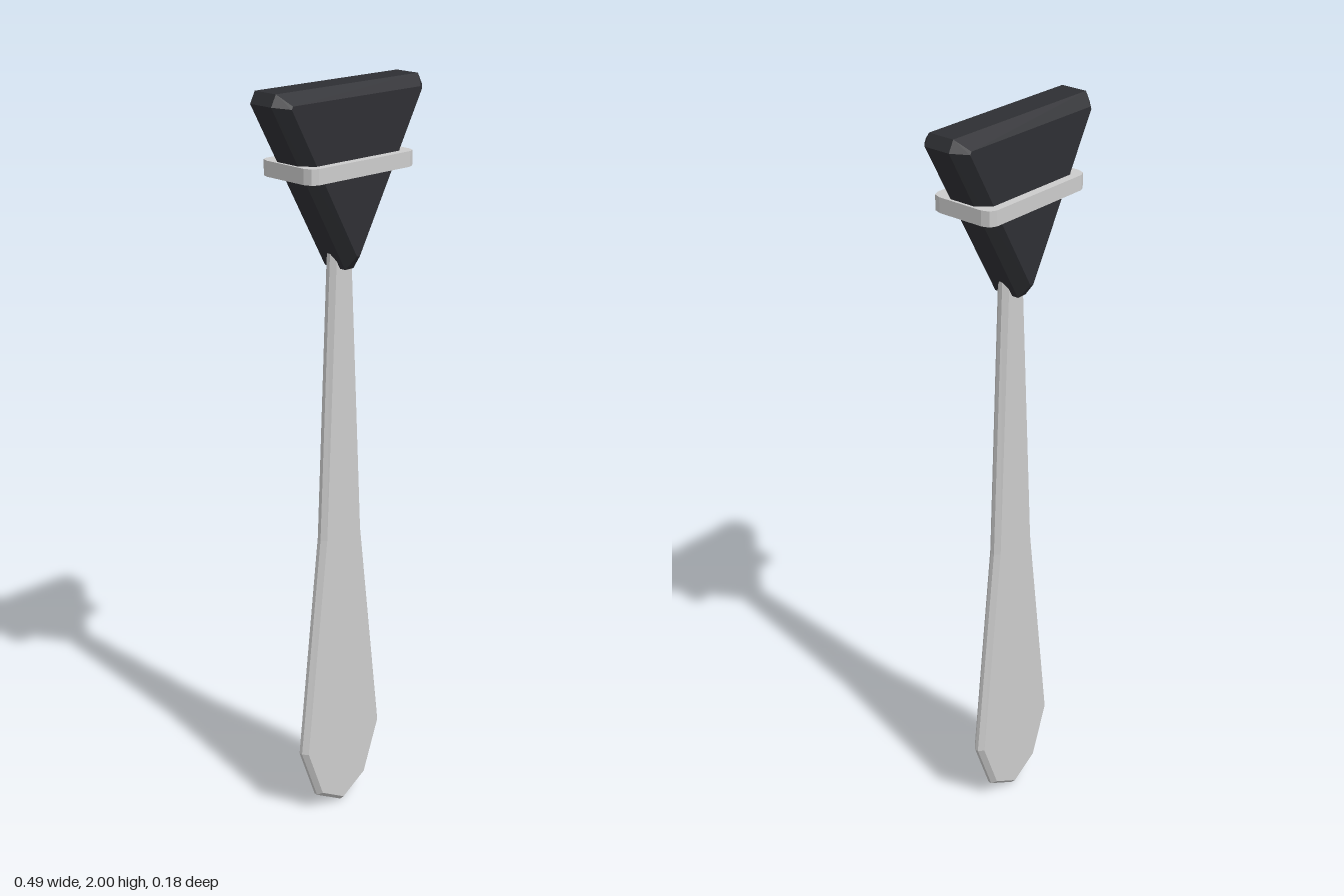
import * as THREE from 'three';

const metal = new THREE.MeshStandardMaterial({ color: 0xcccccc, flatShading: true });
const rubber = new THREE.MeshStandardMaterial({ color: 0x2e2f33, flatShading: true });

// Closes a right-hand outline (bottom to top) into a counter-clockwise loop
function mirror(half) {
  const left = half.filter(([x]) => x > 0).reverse().map(([x, y]) => [-x, y]);
  return [...half, ...left];
}

// Bevelled slab: wide outline at +-zEdge, inset outline at +-zFace
function bevelledSlab(outer, inner, zEdge, zFace) {
  const n = outer.length;
  const rings = [[inner, -zFace], [outer, -zEdge], [outer, zEdge], [inner, zFace]];
  const positions = rings.flatMap(([loop, z]) => loop.flatMap(([x, y]) => [x, y, z]));
  const index = [];
  for (let k = 0; k < 3; k++) {
    for (let i = 0; i < n; i++) {
      const a = k * n + i, b = k * n + (i + 1) % n;
      index.push(a, b, b + n, a, b + n, a + n);
    }
  }
  const cap = THREE.ShapeUtils.triangulateShape(inner.map(([x, y]) => new THREE.Vector2(x, y)), []);
  for (const [a, b, c] of cap) index.push(a, c, b, a + 3 * n, b + 3 * n, c + 3 * n);
  const indexed = new THREE.BufferGeometry();
  indexed.setAttribute('position', new THREE.Float32BufferAttribute(positions, 3));
  indexed.setIndex(index);
  const geometry = indexed.toNonIndexed();
  geometry.computeVertexNormals();
  return geometry;
}

function addPart(group, name, geometry, material) {
  const mesh = new THREE.Mesh(geometry, material);
  mesh.name = name;
  group.add(mesh);
  return mesh;
}

export function createModel() {
  const group = new THREE.Group();
  group.name = 'reflexHammer';

  // Flat tapering handle, its tip buried in the head
  const handleOuter = mirror([[0, 0], [0.09, 0.055], [0.145, 0.21], [0.072, 0.83], [0.035, 1.6], [0.03, 1.64]]);
  const handleInner = mirror([[0, 0.014], [0.08, 0.063], [0.132, 0.21], [0.06, 0.83], [0.024, 1.6], [0.02, 1.64]]);
  addPart(group, 'handle', bevelledSlab(handleOuter, handleInner, 0.005, 0.018), metal);

  // Triangular rubber head with chamfered edges
  const headOuter = mirror([[0.014, 1.552], [0.247, 1.972], [0.232, 2]]);
  const headInner = mirror([[0.005, 1.59], [0.213, 1.967], [0.209, 1.974]]);
  addPart(group, 'head', bevelledSlab(headOuter, headInner, 0.036, 0.068), rubber);

  // Metal band around the head
  const corner = [[0.175, 0.064], [0.168, 0.083], [0.152, 0.091]];
  const right = [...corner.map(([x, z]) => [x, -z]).reverse(), ...corner];
  const loop = [...right, ...right.map(([x, z]) => [-x, -z])];
  const bandShape = new THREE.Shape(loop.map(([x, z]) => new THREE.Vector2(x, z)));
  const hole = [[0.155, 0.05], [0.14, 0.069], [-0.14, 0.069], [-0.155, 0.05],
    [-0.155, -0.05], [-0.14, -0.069], [0.14, -0.069], [0.155, -0.05]];
  bandShape.holes.push(new THREE.Path(hole.map(([x, z]) => new THREE.Vector2(x, z))));
  const band = new THREE.ExtrudeGeometry(bandShape, { depth: 0.038, bevelEnabled: false });
  band.rotateX(-Math.PI / 2);
  addPart(group, 'band', band, metal).position.y = 1.79;

  return group;
}
